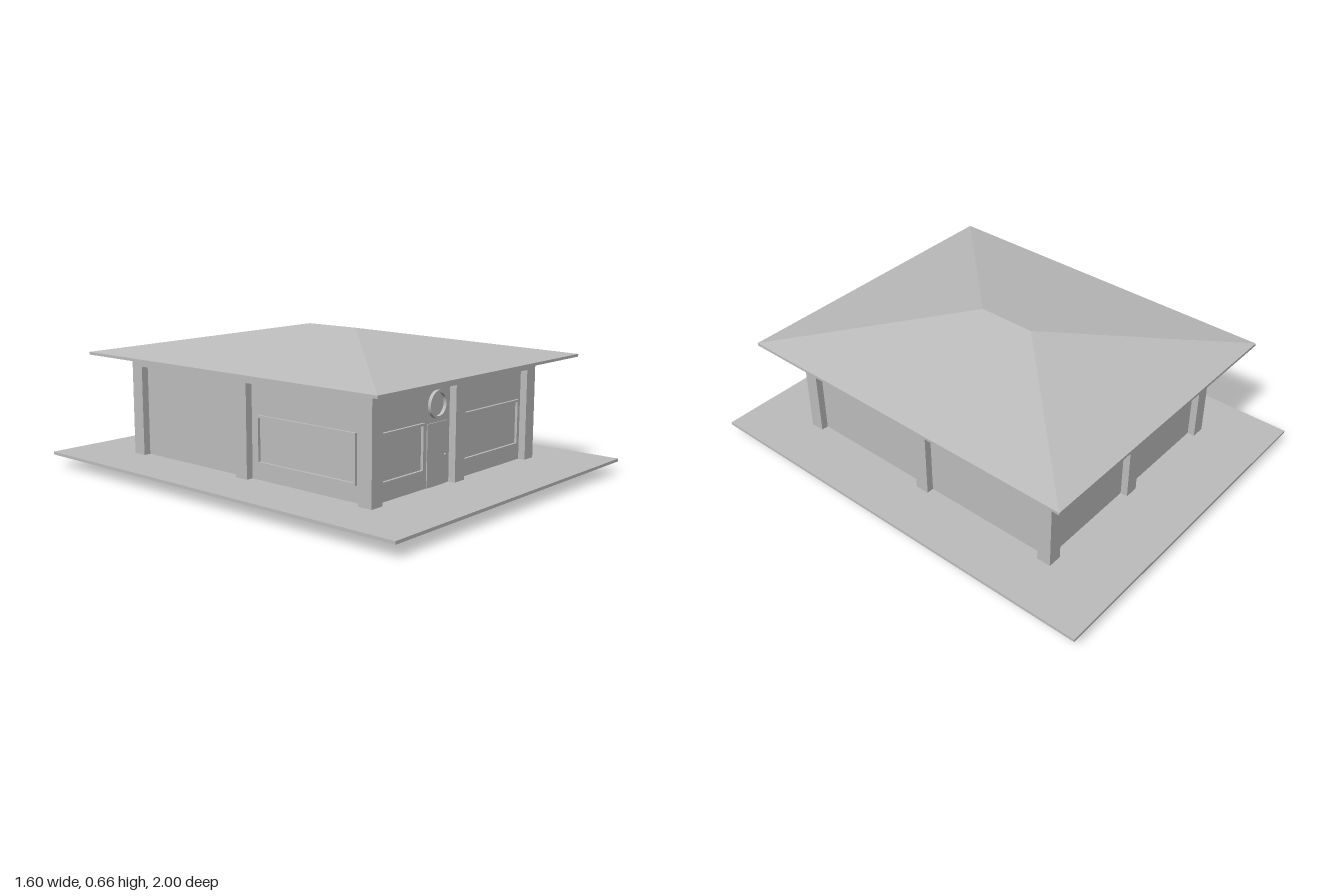
import * as THREE from 'three';

export function createModel() {
  const model = new THREE.Group();
  model.name = 'pavilion';
  const grey = new THREE.MeshStandardMaterial({ color: 0xbdbdbd });
  grey.name = 'plain grey';

  const add = (name, geometry, parent = model) => {
    const mesh = new THREE.Mesh(geometry, grey);
    mesh.name = name;
    parent.add(mesh);
    return mesh;
  };
  // box given by its minimum and maximum corners
  const box = (name, x0, x1, y0, y1, z0, z1, parent) => {
    const mesh = add(name, new THREE.BoxGeometry(x1 - x0, y1 - y0, z1 - z0), parent);
    mesh.position.set((x0 + x1) / 2, (y0 + y1) / 2, (z0 + z1) / 2);
    return mesh;
  };

  const X = 0.565, Z = 0.7, W = 0.065, H = W / 2; // outer half sizes, timber width
  const FLOOR = 0.068, BEAM = 0.473, EAVE = 0.523;
  const RECESS = 0.033, T = 0.012;

  // floor slab
  box('floorSlab', -0.8, 0.8, 0.055, FLOOR, -1, 1);

  // foundation and head beams: a rectangle of timbers plus a middle foundation beam
  for (const [name, y0, y1] of [['foundationBeam', 0, 0.055], ['headBeam', BEAM, EAVE]]) {
    for (const s of [-1, 1]) {
      const z = s * (Z - H), x = s * (X - H);
      box(name, -X, X, y0, y1, z - H, z + H);
      box(name, x - H, x + H, y0, y1, -Z + W, Z - W);
    }
  }
  box('middleFoundationBeam', -X + W, X - W, 0, 0.055, -H, H);

  // posts at corners and mid-sides
  for (const i of [-1, 0, 1]) {
    for (const j of [-1, 0, 1]) {
      if (!i && !j) continue;
      const x = i * (X - H), z = j * (Z - H);
      box('post', x - H, x + H, FLOOR, BEAM, z - H, z + H);
    }
  }

  // recessed wall panels
  const px = X - RECESS, pz = Z - RECESS;
  for (const s of [-1, 1]) {
    const z = s * (pz - T / 2), x = s * (px - T / 2);
    for (const h of [-1, 1]) {
      const cx = h * X / 2, cz = h * Z / 2;
      box('endWall', cx - X / 2 + 0.03, cx + X / 2 - 0.03, FLOOR, BEAM, z - T / 2, z + T / 2);
      box('sideWall', x - T / 2, x + T / 2, FLOOR, BEAM, cz - Z / 2 + 0.03, cz + Z / 2 - 0.03);
    }
  }

  // window frame, built facing +z
  const windowFrame = (name, width, height) => {
    const outline = (w, h, C) => {
      const p = new C();
      p.moveTo(-w / 2, -h / 2).lineTo(w / 2, -h / 2).lineTo(w / 2, h / 2).lineTo(-w / 2, h / 2);
      p.closePath();
      return p;
    };
    const shape = outlineShape(width, height);
    shape.holes.push(outlineShape(width - 0.02, height - 0.02, THREE.Path));
    return add(name, new THREE.ExtrudeGeometry(shape, { depth: 0.012, bevelEnabled: false }));
  };
  windowFrame('frontSmallWindow', 0.27, 0.2).position.set(-0.347, 0.241, pz);
  windowFrame('frontWideWindow', 0.42, 0.205).position.set(0.263, 0.24, pz);
  const sideWindow = windowFrame('sideWindow', 0.53, 0.205);
  sideWindow.position.set(-px, 0.24, 0.335);
  sideWindow.rotation.y = -Math.PI / 2;

  // door leaf and knob
  box('door', -0.185, -0.055, FLOOR, 0.33, pz, pz + 0.004);
  const knob = add('doorKnob', new THREE.SphereGeometry(0.005, 12, 8));
  knob.position.set(-0.068, 0.19, pz + 0.006);

  // round ornament above the door
  const ringShape = new THREE.Shape().absarc(0, 0, 0.058, 0, Math.PI * 2);
  ringShape.holes.push(new THREE.Path().absarc(0, 0, 0.047, 0, Math.PI * 2, true));
  const ring = add('roundFrame', new THREE.ExtrudeGeometry(ringShape, {
    depth: 0.015, bevelEnabled: false, curveSegments: 32,
  }));
  ring.position.set(-0.122, 0.404, pz);

  // hipped roof: thin eave board and a box whose top is pulled in to a ridge
  box('eaveBoard', -0.7, 0.7, EAVE, 0.535, -0.835, 0.835);
  let hip = new THREE.BoxGeometry(1.4, 0.123, 1.67);
  const p = hip.attributes.position;
  for (let i = 0; i < p.count; i++) {
    if (p.getY(i) > 0) {
      p.setX(i, 0);
      p.setZ(i, Math.sign(p.getZ(i)) * 0.135);
    }
  }
  hip = hip.toNonIndexed();
  hip.computeVertexNormals();
  add('hippedRoof', hip).position.y = 0.535 + 0.0615;

  return model;
}

// centred rectangle as a shape or hole
function outlineShape(w, h, Kind = THREE.Shape) {
  return new Kind([[-1, -1], [1, -1], [1, 1], [-1, 1], [-1, -1]]
    .map(([x, y]) => new THREE.Vector2(x * w / 2, y * h / 2)));
}
